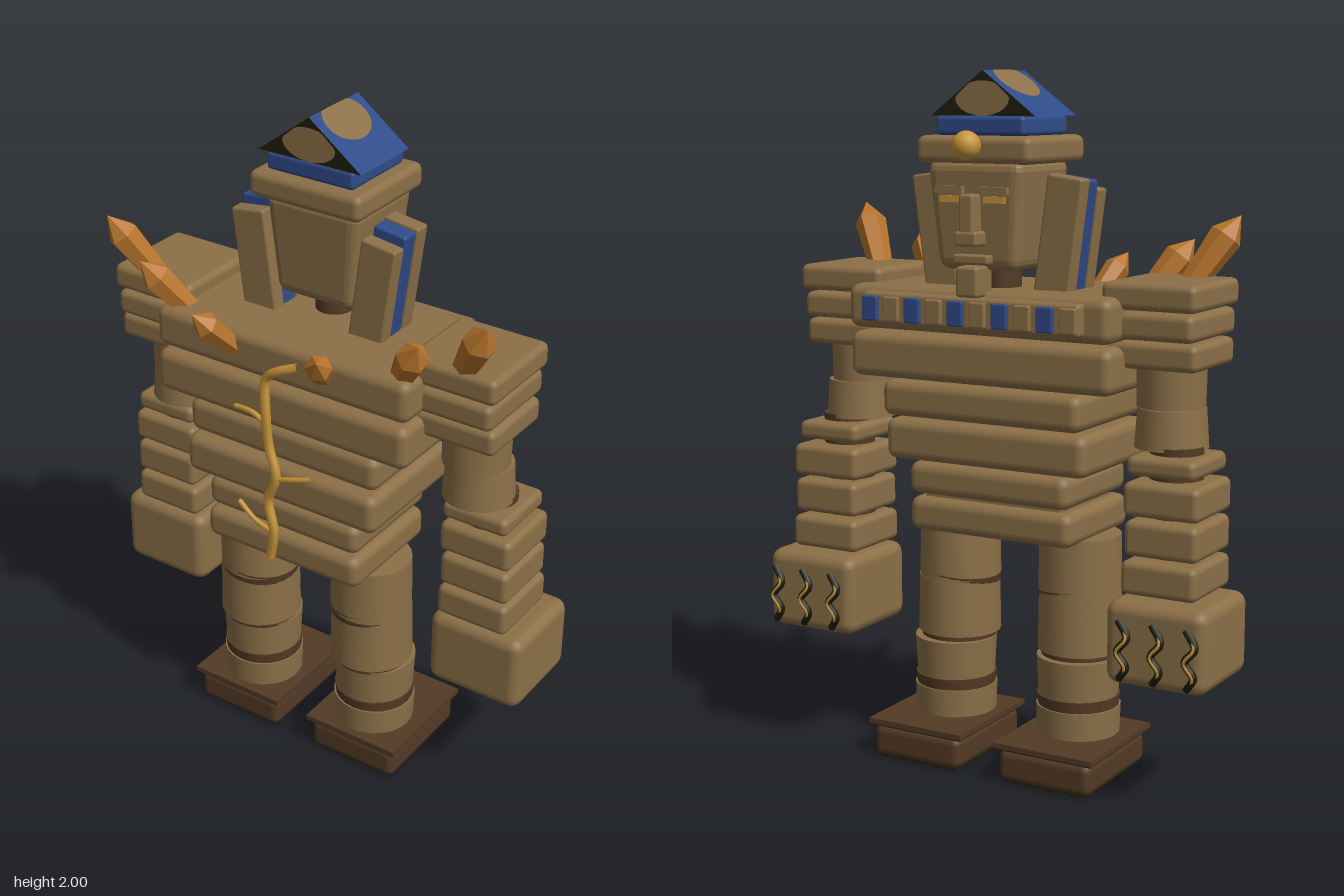
import * as THREE from 'three';
import { RoundedBoxGeometry } from 'three/addons/geometries/RoundedBoxGeometry.js';

const mat = (name, color, extra = {}) => {
  const m = new THREE.MeshStandardMaterial({ color, ...extra });
  m.name = name;
  return m;
};

export function createModel() {
  const stone = mat('tan stone', 0x8c7048);
  const blue = mat('blue', 0x2f4b88);
  const gold = mat('gold', 0xc8963a);
  const amber = mat('amber crystal', 0xb8752c, { flatShading: true });
  const brown = mat('dark brown', 0x533a25);
  const dark = mat('near black', 0x1e1e0e);
  const root = new THREE.Group();
  root.name = 'stoneGolem';

  const add = (name, geo, m, x = 0, y = 0, z = 0, parent = root) => {
    const mesh = new THREE.Mesh(geo, m);
    mesh.name = name;
    mesh.position.set(x, y, z);
    parent.add(mesh);
    return mesh;
  };
  // Bevelled slab given by its limits
  const slab = (name, m, [x0, x1], [y0, y1], [z0, z1], r = 0.02, parent = root) =>
    add(name, new RoundedBoxGeometry(x1 - x0, y1 - y0, z1 - z0, 2, r), m,
      (x0 + x1) / 2, (y0 + y1) / 2, (z0 + z1) / 2, parent);
  const drum = (name, m, x, y0, y1, z, rTop, rBottom) =>
    add(name, new THREE.CylinderGeometry(rTop, rBottom, y1 - y0, 24), m, x, (y0 + y1) / 2, z);
  const tube = (name, pts, r, m, sides = 6) => add(name, new THREE.TubeGeometry(
    new THREE.CatmullRomCurve3(pts.map(p => new THREE.Vector3(...p))), pts.length * 5, r, sides), m);

  // Torso: half width, bottom, top, back, front
  for (const [w, y0, y1, z0, z1] of [
    [0.265, 0.69, 0.79, -0.18, 0.19], [0.26, 0.8, 0.895, -0.19, 0.185],
    [0.325, 0.9, 1.02, -0.21, 0.2], [0.32, 1.03, 1.135, -0.235, 0.185],
    [0.42, 1.14, 1.27, -0.245, 0.2], [0.42, 1.28, 1.405, -0.25, 0.195],
  ]) slab('torsoSlab', stone, [-w, w], [y0, y1], [z0, z1], 0.03);
  slab('torsoCore', stone, [-0.23, 0.23], [0.7, 1.35], [-0.15, 0.15]);

  // Collar with alternating inlays on the face side of the chest
  slab('collar', stone, [-0.345, 0.345], [1.3, 1.39], [-0.28, -0.23], 0.012);
  for (let i = 0; i < 10; i++) {
    slab('collarInlay', i % 2 ? blue : stone, [-0.34 + i * 0.07, -0.29 + i * 0.07],
      [1.31, 1.38], [-0.293, -0.27], 0.005);
  }

  // Legs, arms and shoulders
  for (const s of [-1, 1]) {
    const cx = s * 0.213;
    slab('foot', brown, [cx - 0.147, cx + 0.147], [0.004, 0.1], [-0.235, 0.125], 0.025);
    add('sole', new THREE.BoxGeometry(0.26, 0.008, 0.33), dark, cx, 0.004, -0.055);
    add('footRim', new THREE.BoxGeometry(0.315, 0.016, 0.375), brown, cx, 0.11, -0.053);
    add('footRimUnderside', new THREE.BoxGeometry(0.31, 0.004, 0.37), dark, cx, 0.1, -0.053);
    drum('ankle', stone, s * 0.208, 0.115, 0.2, -0.01, 0.123, 0.12);
    drum('shinBand', brown, s * 0.208, 0.2, 0.232, -0.01, 0.121, 0.118);
    drum('shin', stone, s * 0.208, 0.232, 0.345, -0.01, 0.122, 0.116);
    drum('knee', brown, s * 0.204, 0.34, 0.365, 0.003, 0.112, 0.112);
    drum('lowerThigh', stone, s * 0.204, 0.36, 0.53, 0.006, 0.12, 0.123);
    drum('thigh', stone, s * 0.202, 0.53, 0.7, 0.008, 0.118, 0.121);
    const band = drum('thighBand', brown, s * 0.202, 0.515, 0.545, 0.008, 0.121, 0.119);
    band.rotation.z = s * 0.1;

    const sx = (a, b) => s > 0 ? [a, b] : [-b, -a];
    slab('shoulderTop', stone, sx(0.355, 0.635), [1.37, 1.445], [-0.18, 0.115]);
    slab('shoulderMiddle', stone, sx(0.37, 0.625), [1.29, 1.365], [-0.175, 0.115]);
    slab('shoulderBottom', stone, sx(0.36, 0.63), [1.21, 1.285], [-0.16, 0.1]);
    drum('upperArm', stone, s * 0.505, 1.1, 1.25, -0.04, 0.098, 0.095);
    drum('elbow', stone, s * 0.512, 0.99, 1.1, -0.05, 0.095, 0.103);
    drum('armCore', brown, s * 0.54, 0.55, 1.0, -0.075, 0.075, 0.075);
    slab('wrist', stone, sx(0.435, 0.66), [0.6, 0.695], [-0.21, 0.03]);
    slab('forearm', stone, sx(0.44, 0.658), [0.705, 0.805], [-0.2, 0.03]);
    slab('forearm', stone, sx(0.435, 0.66), [0.815, 0.91], [-0.2, 0.03]);
    slab('forearmTop', stone, sx(0.44, 0.645), [0.925, 0.98], [-0.19, 0.03]);
    slab('hand', stone, sx(0.415, 0.715), [0.36, 0.595], [-0.262, 0.035], 0.035);

    // Jagged knuckle marks
    for (const k of [0.475, 0.575, 0.675]) {
      const x = s * k;
      const mark = o => [[x + 0.015, 0.545, -0.26], [x - 0.015, 0.5, -0.27 - o],
        [x + 0.012, 0.46, -0.273 - o], [x - 0.012, 0.42, -0.27 - o], [x + 0.012, 0.38, -0.26]];
      tube('knuckleMark', mark(0), 0.011, dark);
      tube('knuckleGlint', mark(0.009), 0.005, gold, 4);
    }

    // Layered head guards, leaning outward
    const guard = new THREE.Group();
    guard.name = 'headGuard';
    guard.position.set(s * 0.175, 1.39, 0);
    guard.rotation.z = -s * 0.135;
    root.add(guard);
    slab('guardPlate', stone, [-0.055, 0.055], [0, 0.3], [-0.02, 0.027], 0.008, guard);
    slab('guardInlay', blue, [-0.05, 0.052], [0, 0.325], [-0.078, -0.022], 0.008, guard);
    slab('guardPlate', stone, [-0.055, 0.055], [0, 0.33], [-0.13, -0.08], 0.008, guard);
  }

  // Head, narrowing toward the jaw
  drum('neck', brown, 0, 1.38, 1.48, -0.09, 0.055, 0.055);
  const skull = new RoundedBoxGeometry(0.3, 0.3, 0.28, 2, 0.03);
  const p = skull.attributes.position;
  for (let i = 0; i < p.count; i++) {
    const k = 1 - 0.18 * Math.max(0, (0.1 - p.getY(i)) / 0.25);
    p.setX(i, p.getX(i) * k);
    p.setZ(i, p.getZ(i) * (0.4 + 0.6 * k));
  }
  skull.computeVertexNormals();
  add('head', skull, stone, 0, 1.61, -0.108);
  slab('browBand', stone, [-0.18, 0.18], [1.75, 1.825], [-0.255, 0.068], 0.022);
  slab('capBand', blue, [-0.14, 0.14], [1.825, 1.878], [-0.215, 0.035], 0.012);
  add('browOrb', new THREE.SphereGeometry(0.04, 20, 14), gold, 0, 1.8, -0.28);

  // Face
  slab('nose', stone, [-0.022, 0.022], [1.53, 1.67], [-0.288, -0.22], 0.008);
  slab('noseTip', stone, [-0.035, 0.035], [1.53, 1.57], [-0.292, -0.22], 0.008);
  slab('mouth', stone, [-0.055, 0.055], [1.48, 1.505], [-0.265, -0.2], 0.006);
  slab('beard', stone, [-0.035, 0.035], [1.39, 1.475], [-0.287, -0.2], 0.01);
  for (const s of [-1, 1]) {
    add('eye', new THREE.BoxGeometry(0.065, 0.018, 0.009), gold, s * 0.07, 1.655, -0.25);
    add('eyebrow', new THREE.BoxGeometry(0.085, 0.02, 0.03), stone, s * 0.07, 1.68, -0.247);
  }

  // Gabled cap with round patches
  const gable = new THREE.Shape([[-0.165, 1.877], [0.165, 1.877], [0, 2]].map(v => new THREE.Vector2(...v)));
  add('capRoof', new THREE.ExtrudeGeometry(gable, { depth: 0.23, bevelEnabled: false }), [dark, blue], 0, 0, -0.195);
  const oval = f => new THREE.ShapeGeometry(new THREE.Shape(
    Array.from({ length: 32 }, (_, i) => new THREE.Vector2(...f(i * Math.PI / 16)))));
  const gablePatch = oval(a => {
    const y = 0.047 * Math.sin(a), lim = (0.075 - y) * 1.2;
    return [THREE.MathUtils.clamp(0.085 * Math.cos(a), -lim, lim), y];
  });
  add('gablePatchFront', gablePatch, stone, 0, 1.925, 0.037);
  add('gablePatchBack', gablePatch, stone, 0, 1.925, -0.197).rotation.y = Math.PI;
  const L = Math.hypot(0.165, 0.123), c = 0.165 / L, n = 0.123 / L;
  const roofPatch = oval(a => [Math.max(0, 0.05 + 0.069 * Math.cos(a)), 0.087 * Math.sin(a)]);
  for (const s of [-1, 1]) {
    const patch = add('roofPatch', roofPatch, stone);
    patch.quaternion.setFromRotationMatrix(new THREE.Matrix4().makeBasis(
      new THREE.Vector3(s * c, -n, 0), new THREE.Vector3(0, 0, -s), new THREE.Vector3(s * n, c, 0)));
    patch.position.set(s * n * 0.002, 2 + c * 0.002, -0.08);
  }

  // Six-sided pointed crystals: base, tip, radius
  for (const [b, t, r] of [
    [[0.51, 1.42, 0.06], [0.62, 1.61, 0.145], 0.047], [[0.35, 1.37, 0.11], [0.455, 1.535, 0.205], 0.046],
    [[0.14, 1.34, 0.17], [0.215, 1.46, 0.31], 0.038], [[-0.15, 1.34, 0.17], [-0.2, 1.48, 0.3], 0.038],
    [[-0.35, 1.37, 0.11], [-0.455, 1.535, 0.205], 0.046], [[-0.51, 1.42, 0.06], [-0.62, 1.61, 0.145], 0.047],
  ]) {
    const base = new THREE.Vector3(...b), dir = new THREE.Vector3(...t).sub(base), h = dir.length();
    const profile = [[0, 0], [r * 0.75, 0], [r, h * 0.7], [0, h]].map(v => new THREE.Vector2(...v));
    const crystal = add('crystal', new THREE.LatheGeometry(profile, 6), amber, ...b);
    crystal.quaternion.setFromUnitVectors(new THREE.Vector3(0, 1, 0), dir.normalize());
  }

  // Golden vine climbing the torso
  tube('vineStem', [[-0.005, 0.73, 0.225], [0.012, 0.83, 0.23], [-0.01, 0.92, 0.225], [0.022, 1.01, 0.23],
    [-0.005, 1.1, 0.225], [-0.01, 1.2, 0.23], [-0.012, 1.31, 0.222], [0.03, 1.345, 0.225], [0.09, 1.37, 0.215]], 0.014, gold);
  tube('vineTwig', [[-0.01, 1.17, 0.227], [-0.06, 1.19, 0.225], [-0.125, 1.185, 0.215]], 0.008, gold);
  tube('vineTwig', [[0.02, 1.0, 0.227], [0.07, 1.015, 0.225], [0.13, 1.03, 0.215]], 0.008, gold);
  tube('vineTwig', [[0.0, 0.82, 0.227], [-0.06, 0.84, 0.225], [-0.12, 0.875, 0.215]], 0.008, gold);
  return root;
}
